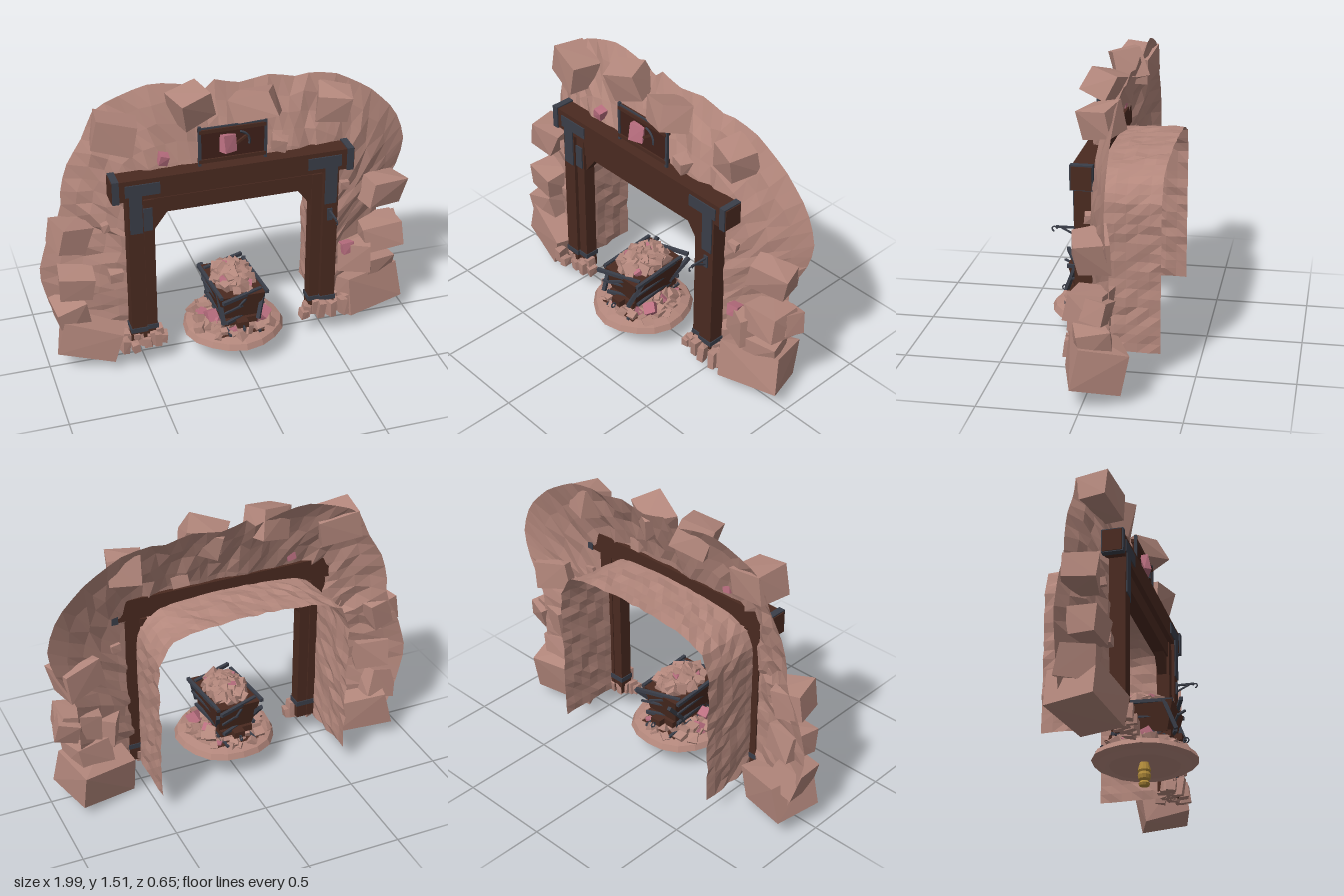
import * as THREE from 'three';
import { ConvexGeometry } from 'three/addons/geometries/ConvexGeometry.js';

const mat = (name, color, extra = {}) => {
  const m = new THREE.MeshStandardMaterial({ color, flatShading: true, ...extra });
  m.name = name;
  return m;
};

export function createModel() {
  const root = new THREE.Group();
  root.name = 'mineEntrance';
  const rock = mat('rock', 0xb3877c, { side: THREE.DoubleSide });
  const wood = mat('darkWood', 0x4a2a20);
  const panel = mat('signWood', 0x3f2019);
  const iron = mat('iron', 0x3a3e49);
  const crystal = mat('crystal', 0xba6f80);
  const brass = mat('brass', 0xb08a3a);

  // Seeded random in -1..1
  let seed = 7;
  const rnd = () => {
    seed = (seed * 16807) % 2147483647;
    return (seed / 2147483647) * 2 - 1;
  };

  const add = (name, geo, material, parent = root) => {
    const m = new THREE.Mesh(geo, material);
    m.name = name;
    parent.add(m);
    return m;
  };
  const group = (name) => {
    const g = new THREE.Group();
    g.name = name;
    root.add(g);
    return g;
  };
  // Box given by its limits on each axis
  const box = (name, material, x0, x1, y0, y1, z0, z1, parent = root) => {
    const m = add(name, new THREE.BoxGeometry(x1 - x0, y1 - y0, z1 - z0), material, parent);
    m.position.set((x0 + x1) / 2, (y0 + y1) / 2, (z0 + z1) / 2);
    return m;
  };
  // Square bar between two points
  const bar = (name, material, a, b, w, parent = root) => {
    const p = new THREE.Vector3(...a), q = new THREE.Vector3(...b);
    const m = add(name, new THREE.BoxGeometry(w, w, p.distanceTo(q)), material, parent);
    m.position.copy(p).add(q).multiplyScalar(0.5);
    m.lookAt(q);
    return m;
  };
  // Chipped block: hull of a jittered box
  const boulder = (name, material, x, y, z, w, h, d, parent = root, turn = 0.25, chip = 0.28) => {
    const pts = [];
    for (const i of [-1, 1]) for (const j of [-1, 1]) for (const k of [-1, 1]) {
      const s = () => 0.5 * (1 - chip * Math.abs(rnd()));
      pts.push(new THREE.Vector3(i * w * s(), j * h * s(), k * d * s()));
    }
    const m = add(name, new ConvexGeometry(pts), material, parent);
    m.position.set(x, y, z);
    m.rotation.set(rnd() * turn, rnd() * turn * 2, rnd() * turn);
    return m;
  };
  // Open surface through rows of points
  const sheet = (name, rows) => {
    const n = rows[0].length, index = [];
    for (let r = 0; r < rows.length - 1; r++) for (let i = 0; i < n - 1; i++) {
      const a = r * n + i, b = a + n;
      index.push(a, a + 1, b, b, a + 1, b + 1);
    }
    const geo = new THREE.BufferGeometry().setFromPoints(rows.flat());
    geo.setIndex(index);
    geo.computeVertexNormals();
    return add(name, geo, rock);
  };
  const path = (pts, n) => new THREE.CatmullRomCurve3(
    pts.map(([x, y]) => new THREE.Vector3(x, y, 0)), false, 'catmullrom', 0.25).getSpacedPoints(n);

  // Rock face and tunnel lining
  const N = 56;
  const inner = path([[-0.53, 0.11], [-0.53, 0.5], [-0.53, 0.86], [-0.47, 0.98], [-0.34, 1.03], [0, 1.05],
    [0.32, 1.03], [0.43, 0.98], [0.49, 0.86], [0.49, 0.5], [0.49, 0.11]], N);
  const outer = path([[-0.88, 0.1], [-0.95, 0.28], [-0.98, 0.4], [-1, 0.52], [-0.94, 0.73], [-0.87, 0.86],
    [-0.86, 1], [-0.82, 1.13], [-0.74, 1.26], [-0.67, 1.41], [-0.5, 1.48], [-0.37, 1.51], [-0.2, 1.48],
    [-0.08, 1.44], [-0.04, 1.5], [0.05, 1.45], [0.27, 1.48], [0.34, 1.44], [0.44, 1.455], [0.6, 1.43],
    [0.79, 1.32], [0.93, 1.18], [0.98, 1.07], [1, 0.97], [0.96, 0.83], [0.87, 0.65], [0.86, 0.4], [0.84, 0.1]], N);
  const face = [];
  for (let r = 0; r <= 5; r++) {
    const t = r / 5, j = r % 5 ? 0.012 : 0;
    face.push(inner.map((p, i) => p.clone().lerp(outer[i], t)
      .add(new THREE.Vector3(rnd() * j, rnd() * j, 0.03 - 0.09 * t - 0.065 * t * t + rnd() * j))));
  }
  sheet('rockFace', face);
  const lining = [];
  for (let r = 0; r <= 6; r++) {
    const t = r / 6, j = r ? 0.008 : 0;
    lining.push(inner.map((p) => new THREE.Vector3(
      p.x * (1 + 0.02 * t) + rnd() * j, p.y + (p.y > 0.8 ? 0.015 * t + rnd() * j : 0), 0.03 - 0.35 * t)));
  }
  sheet('tunnelLining', lining);

  // Boulders set in the face: x, y, z, width, height, depth
  const boulders = group('boulders');
  [[-0.59, 1.32, -0.03, 0.25, 0.18, 0.2], [-0.2, 1.41, -0.04, 0.22, 0.18, 0.18],
    [0.13, 1.38, 0, 0.24, 0.15, 0.18], [0.55, 1.32, -0.03, 0.2, 0.16, 0.18],
    [0.83, 0.77, -0.04, 0.25, 0.18, 0.2], [0.84, 0.5, -0.03, 0.25, 0.16, 0.2],
    [0.7, 0.4, 0, 0.19, 0.19, 0.17], [0.76, 0.17, -0.04, 0.36, 0.24, 0.28],
    [0.8, 0.3, -0.04, 0.2, 0.16, 0.2], [0.91, 0.5, -0.08, 0.14, 0.13, 0.12],
    [-0.85, 0.76, -0.04, 0.19, 0.17, 0.2], [-0.83, 0.5, -0.02, 0.2, 0.17, 0.2],
    [-0.86, 0.3, -0.04, 0.18, 0.18, 0.22], [-0.77, 0.16, -0.02, 0.36, 0.22, 0.3],
    [0.25, 1.155, 0.02, 0.09, 0.08, 0.08], [-0.67, 0.81, 0.01, 0.05, 0.05, 0.05],
    [-0.63, 0.52, 0.02, 0.08, 0.07, 0.07], [0.61, 0.85, 0.01, 0.06, 0.05, 0.06]]
    .forEach((b) => boulder('boulder', rock, ...b, boulders));
  boulder('crystal', crystal, -0.36, 1.16, 0.02, 0.06, 0.06, 0.06, boulders);
  boulder('crystal', crystal, 0.64, 0.46, 0.02, 0.07, 0.07, 0.07, boulders);

  // Timber frame
  const frame = group('timberFrame');
  box('lintel', wood, -0.65, 0.63, 0.99, 1.105, 0, 0.1, frame);
  box('lowerBeam', wood, -0.48, 0.46, 0.89, 0.975, 0.01, 0.08, frame);
  for (const [s, c] of [[-1, -0.01], [1, -0.01]]) {
    const X = (a, b) => [c + Math.min(s * a, s * b), c + Math.max(s * a, s * b)];
    box('outerPost', wood, ...X(0.48, 0.56), 0.12, 0.99, 0.015, 0.1, frame);
    box('innerPost', wood, ...X(0.42, 0.475), 0.12, 0.975, 0.015, 0.085, frame);
    box('postBand', iron, ...X(0.475, 0.565), 0.195, 0.222, 0.01, 0.105, frame);
    box('postBand', iron, ...X(0.415, 0.475), 0.195, 0.222, 0.01, 0.09, frame);
    box('lintelBand', iron, ...X(0.6, 0.635), 0.985, 1.112, -0.005, 0.107, frame);
    box('lintelPlate', iron, ...X(0.39, 0.57), 1.015, 1.08, 0.1, 0.106, frame);
    box('postPlate', iron, ...X(0.485, 0.55), 0.8, 1.015, 0.1, 0.106, frame);
    // Triangular corner brace
    const tri = new THREE.Shape([new THREE.Vector2(0.425, 0.78), new THREE.Vector2(0.425, 0.895),
      new THREE.Vector2(0.34, 0.895)].map((p) => new THREE.Vector2(c + s * p.x, p.y)));
    add('cornerBrace', new THREE.ExtrudeGeometry(tri, { depth: 0.05, bevelEnabled: false }), wood, frame)
      .position.z = 0.02;
    // Stones packed around the post foot
    for (let i = 0; i < 14; i++) {
      const h = 0.08 + 0.03 * rnd();
      boulder('footStone', rock, c + s * (0.39 + 0.018 * i), 0.1 + h / 2, 0.06 + 0.07 * rnd(),
        0.045, h, 0.06, frame, 0.15);
    }
  }
  box('innerPlate', iron, -0.487, -0.44, 0.8, 0.93, 0.085, 0.092, frame);

  // Lantern hook on the left post
  const hook = group('lanternHook');
  box('hookPlate', iron, 0.492, 0.518, 0.7, 0.77, 0.1, 0.108, hook);
  bar('hookArm', iron, [0.505, 0.755, 0.1], [0.505, 0.755, 0.2], 0.01, hook);
  bar('hookStrut', iron, [0.505, 0.715, 0.1], [0.505, 0.75, 0.17], 0.008, hook);
  const curl = add('hookCurl', new THREE.TorusGeometry(0.012, 0.004, 5, 10, 4.7), iron, hook);
  curl.position.set(0.505, 0.743, 0.207);
  curl.rotation.y = Math.PI / 2;

  // Hanging sign with pick and crystal
  const sign = group('sign');
  box('signBoard', panel, -0.175, 0.16, 1.13, 1.295, 0.03, 0.05, sign);
  box('signTrim', wood, -0.185, 0.165, 1.285, 1.305, 0.026, 0.058, sign);
  box('signTrim', wood, -0.185, 0.165, 1.12, 1.14, 0.026, 0.058, sign);
  for (const x of [-0.18, 0.165]) bar('signRod', iron, [x, 1.1, 0.05], [x, 1.325, 0.05], 0.014, sign);
  bar('signRail', iron, [-0.18, 1.312, 0.05], [0.165, 1.312, 0.05], 0.008, sign);
  boulder('signCrystal', crystal, -0.035, 1.22, 0.06, 0.09, 0.1, 0.05, sign, 0.5);
  bar('pickHandle', wood, [-0.02, 1.19, 0.06], [0.065, 1.25, 0.06], 0.012, sign);
  const pick = add('pickHead', new THREE.TorusGeometry(0.06, 0.007, 4, 8, 1.7), iron, sign);
  pick.position.set(0.018, 1.215, 0.06);
  pick.rotation.z = -0.25;

  // Round ground island under the cart
  const cart = group('cartIsland');
  cart.position.set(-0.01, 0, 0.05);
  const lathe = (name, pts, sides, material) => add(name,
    new THREE.LatheGeometry(pts.map(([x, y]) => new THREE.Vector2(x, y)), sides), material, cart);
  const ground = lathe('ground', [[0, 0.125], [0.18, 0.1], [0.2, 0.09], [0.235, 0.11], [0.27, 0.125],
    [0.255, 0.155], [0.21, 0.17], [0, 0.15]], 18, rock);
  const gp = ground.geometry.attributes.position;
  for (let i = 0; i < gp.count; i++) {
    const a = Math.atan2(gp.getZ(i), gp.getX(i)), k = 1 + 0.035 * Math.sin(3 * a) * Math.cos(2 * a);
    gp.setXYZ(i, gp.getX(i) * k, gp.getY(i), gp.getZ(i) * k);
  }
  lathe('brassFoot', [[0, 0], [0.025, 0], [0.03, 0.012], [0.02, 0.025], [0.03, 0.035], [0.034, 0.055],
    [0.028, 0.07], [0.034, 0.08], [0.03, 0.095], [0.02, 0.13]], 12, brass);
  for (let i = 0; i < 60; i++) {
    const a = i * 2.4, r = 0.1 + 0.06 * (1 + rnd()), s = 0.05 + 0.018 * rnd();
    const pink = i % 9 === 4;
    boulder(pink ? 'looseCrystal' : 'rubble', pink ? crystal : rock, Math.cos(a) * r,
      0.16 + (0.22 - r) * 0.4 + 0.01 * rnd(), Math.sin(a) * r, s, s, s, cart, 0.8);
  }
  boulder('looseCrystal', crystal, 0.14, 0.21, 0.08, 0.07, 0.07, 0.07, cart, 0.6);
  boulder('looseCrystal', crystal, -0.13, 0.22, 0.05, 0.06, 0.07, 0.06, cart, 0.6);

  // Track, wheels and chassis
  for (const s of [-1, 1]) {
    bar('rail', iron, [s * 0.08, 0.175, -0.2], [s * 0.08, 0.175, 0.2], 0.014, cart);
    for (const z of [-0.1, 0.1]) {
      const w = add('wheel', new THREE.CylinderGeometry(0.035, 0.035, 0.02, 10), iron, cart);
      w.rotation.z = Math.PI / 2;
      w.position.set(s * 0.08, 0.215, z);
    }
    box('buffer', wood, -0.03, 0.03, 0.215, 0.25, s * 0.18 - 0.02, s * 0.18 + 0.02, cart);
    const ring = add('couplingRing', new THREE.TorusGeometry(0.014, 0.004, 5, 10), iron, cart);
    ring.rotation.y = Math.PI / 2;
    ring.position.set(0, 0.222, s * 0.215);
  }
  for (const z of [-0.16, -0.05, 0.06, 0.17]) box('sleeper', wood, -0.12, 0.12, 0.155, 0.172, z - 0.02, z + 0.02, cart);
  box('chassis', wood, -0.09, 0.09, 0.215, 0.25, -0.16, 0.16, cart);

  // Tapered tub with iron straps
  const tub = add('tub', new THREE.BoxGeometry(0.25, 0.155, 0.35), wood, cart);
  const tp = tub.geometry.attributes.position;
  for (let i = 0; i < tp.count; i++) if (tp.getY(i) < 0) tp.setXYZ(i, tp.getX(i) * 0.74, tp.getY(i), tp.getZ(i) * 0.8);
  tub.geometry.computeVertexNormals();
  tub.position.y = 0.322;
  for (const [y, x, z, w] of [[0.4, 0.125, 0.176, 0.018], [0.325, 0.109, 0.158, 0.01], [0.248, 0.094, 0.141, 0.016]])
    for (const s of [-1, 1]) {
      bar('strap', iron, [-x, y, s * z], [x, y, s * z], w, cart);
      bar('strap', iron, [s * x, y, -z], [s * x, y, z], w, cart);
    }
  for (const s of [-1, 1]) {
    for (const t of [-1, 1]) bar('cornerStrap', iron, [s * 0.093, 0.245, t * 0.14], [s * 0.126, 0.405, t * 0.177], 0.02, cart);
    bar('tubHandle', iron, [-0.04, 0.37, s * 0.19], [0.04, 0.37, s * 0.19], 0.01, cart);
  }

  // Ore heaped in the tub
  for (let i = 0; i < 46; i++) {
    const a = i * 2.4, r = Math.sqrt(i / 46), s = 0.055 + 0.015 * rnd();
    const pink = i % 15 === 7;
    boulder(pink ? 'oreCrystal' : 'ore', pink ? crystal : rock, Math.cos(a) * r * 0.095,
      0.455 - 0.05 * r * r, Math.sin(a) * r * 0.14, s, s, s, cart, 0.8);
  }
  return root;
}
